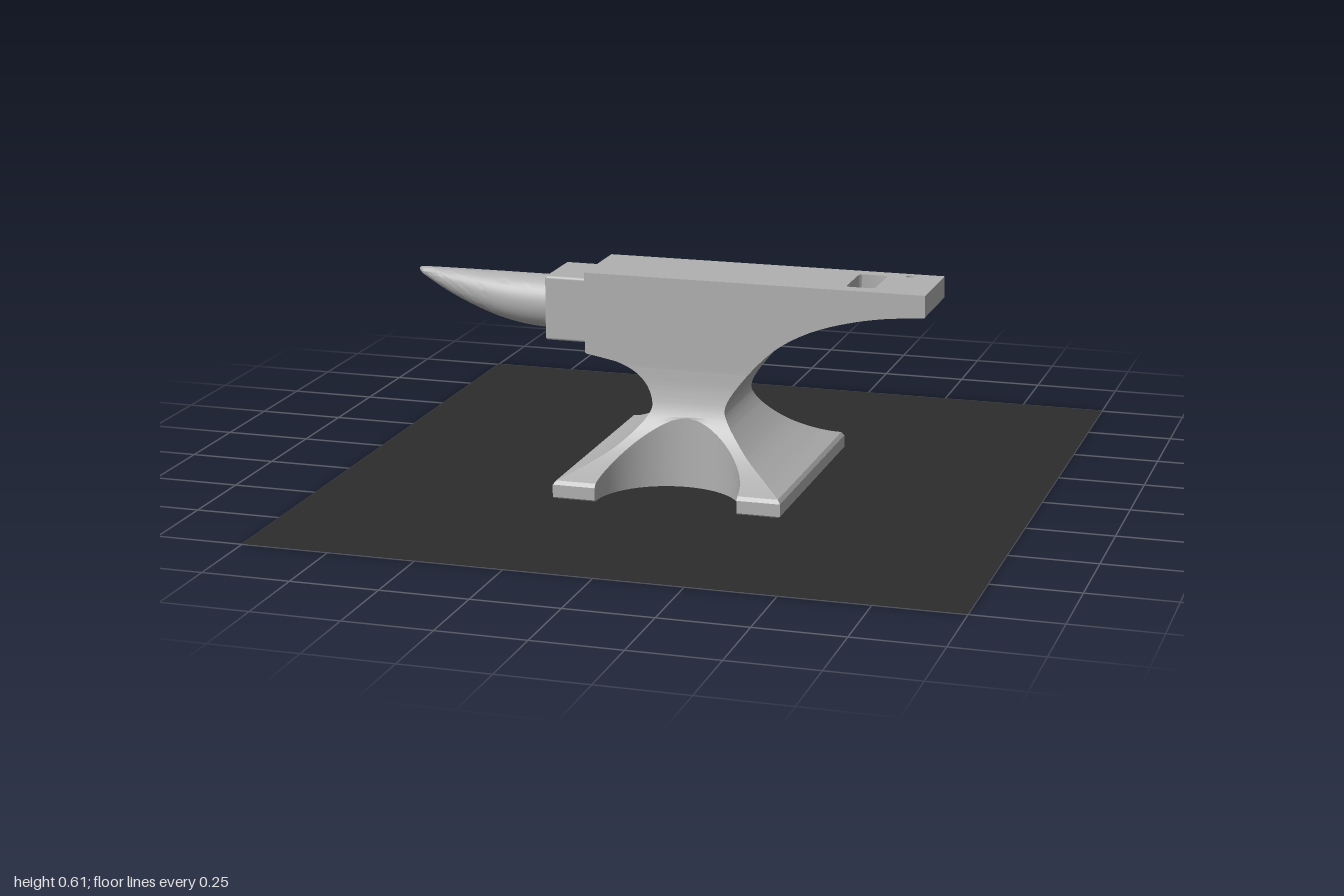
import * as THREE from 'three';
import { mergeGeometries, toCreasedNormals } from 'three/addons/utils/BufferGeometryUtils.js';
import { RoundedBoxGeometry } from 'three/addons/geometries/RoundedBoxGeometry.js';

// Surface patch from f(u, v); faces along du x dv, collapsed triangles are dropped
function patch(f, us, vs) {
  const pts = [], pos = [];
  for (let j = 0; j <= vs; j++) for (let i = 0; i <= us; i++) pts.push(new THREE.Vector3(...f(i / us, j / vs)));
  const tri = (a, b, c) => {
    const area = new THREE.Triangle(pts[a], pts[b], pts[c]).getArea();
    if (area > 1e-9) [a, b, c].forEach((k) => pos.push(...pts[k].toArray()));
  };
  for (let j = 0; j < vs; j++) for (let i = 0; i < us; i++) {
    const a = j * (us + 1) + i, b = a + 1, d = a + us + 1, c = d + 1;
    tri(a, b, c);
    tri(a, c, d);
  }
  const g = new THREE.BufferGeometry();
  g.setAttribute('position', new THREE.Float32BufferAttribute(pos, 3));
  return g;
}

// Smooth profile of [size, y] points, sampled, with straight points before and after
function profile(before, curve, after) {
  const spline = new THREE.SplineCurve(curve.map((p) => new THREE.Vector2(...p)));
  return [...before, ...spline.getPoints(40).map((p) => [p.x, p.y]), ...after];
}

// Value of a profile at height y
function at(prof, y) {
  for (let i = 1; i < prof.length; i++) {
    const [s0, y0] = prof[i - 1], [s1, y1] = prof[i];
    if (y <= y1) return y1 - y0 < 1e-6 ? s1 : s0 + (s1 - s0) * Math.max(0, (y - y0) / (y1 - y0));
  }
  return prof[prof.length - 1][0];
}

const TOP = 0.605;
const footSide = [[0.328, 0], [0.333, 0.006], [0.333, 0.042]];
const lower = [[0.325, 0.053], [0.27, 0.078], [0.2, 0.12], [0.145, 0.17], [0.115, 0.21], [0.108, 0.24]];
const heelProfile = profile(footSide, [...lower, [0.13, 0.285], [0.19, 0.36], [0.26, 0.425], [0.35, 0.475],
  [0.45, 0.508], [0.56, 0.53], [0.678, 0.541]], [[0.68, 0.543], [0.68, TOP]]);
const hornProfile = profile(footSide, [...lower, [0.125, 0.285], [0.16, 0.322], [0.21, 0.347], [0.26, 0.358],
  [0.31, 0.367]], [[0.315, 0.37], [0.315, TOP]]);
const widthProfile = profile([[0.36, 0], [0.365, 0.006], [0.365, 0.042]], [[0.357, 0.053], [0.32, 0.066], [0.27, 0.09],
  [0.22, 0.125], [0.175, 0.17], [0.145, 0.22], [0.13, 0.28], [0.125, 0.34]], [[0.125, TOP]]);

// Round scoop cut into the front and back of the foot
const SCOOP_Z = 0.36, SCOOP_R = 0.208;

function bodyGeometry(holes) {
  const rows = [];
  [...heelProfile, ...hornProfile, ...widthProfile].map((p) => p[1]).sort((a, b) => a - b)
    .forEach((y) => { if (!rows.length || y - rows[rows.length - 1] > 0.0012) rows.push(y); });
  rows[rows.length - 1] = TOP;
  const n = rows.length - 1;
  const sections = rows.map((y) => {
    const w = at(widthProfile, y), gap = SCOOP_Z - w;
    const c = Math.abs(gap) < SCOOP_R ? Math.sqrt(SCOOP_R ** 2 - gap ** 2) : 0;
    return { y, w, c, angle: Math.atan2(c, gap), left: -at(hornProfile, y), right: at(heelProfile, y) };
  });
  const row = (v) => sections[Math.round(v * n)];
  const lerp = THREE.MathUtils.lerp;

  // Half outline in three runs: flat, scoop, flat
  const runs = [
    [2, (u, s) => [lerp(s.left, -s.c, u), s.y, s.w]],
    [28, (u, s) => {
      if (!s.c) return [0, s.y, s.w];
      const a = lerp(-s.angle, s.angle, u);
      return [SCOOP_R * Math.sin(a), s.y, SCOOP_Z - SCOOP_R * Math.cos(a)];
    }],
    [2, (u, s) => [lerp(s.c, s.right, u), s.y, s.w]],
  ];
  const parts = [];
  for (const [cols, run] of runs) {
    parts.push(patch((u, v) => run(u, row(v)), cols, n));
    parts.push(patch((u, v) => { const [x, y, z] = run(1 - u, row(v)); return [x, y, -z]; }, cols, n));
    parts.push(patch((u, v) => { const [x, y, z] = run(u, sections[0]); return [x, y, z * (2 * v - 1)]; }, cols, 2));
  }
  // End walls under the heel and under the horn
  parts.push(patch((u, v) => { const s = row(v); return [s.right, s.y, s.w * (1 - 2 * u)]; }, 2, n));
  parts.push(patch((u, v) => { const s = row(v); return [s.left, s.y, s.w * (2 * u - 1)]; }, 2, n));

  // Working face with blind holes (shape y becomes -z)
  const flat = (shape, y) => {
    const g = new THREE.ShapeGeometry(shape, 10).rotateX(-Math.PI / 2).translate(0, y, 0).toNonIndexed();
    g.deleteAttribute('uv');
    g.deleteAttribute('normal');
    return g;
  };
  const face = new THREE.Shape([[-0.315, -0.125], [0.68, -0.125], [0.68, 0.125], [-0.315, 0.125]]
    .map((p) => new THREE.Vector2(...p)));
  for (const { shape, depth } of holes) {
    face.holes.push(shape);
    parts.push(flat(shape, TOP - depth));
    const rim = shape.getPoints(10);
    if (THREE.ShapeUtils.isClockWise(rim)) rim.reverse();
    const m = rim.length;
    parts.push(patch((u, v) => {
      const p = rim[(m - Math.round(u * m)) % m];
      return [p.x, TOP - depth * (1 - v), -p.y];
    }, m, 1));
  }
  parts.push(flat(face, TOP));
  return toCreasedNormals(mergeGeometries(parts), 0.5);
}

function roundedRect(x0, y0, x1, y1, r) {
  const s = new THREE.Shape();
  s.absarc(x1 - r, y1 - r, r, 0, Math.PI / 2);
  s.absarc(x0 + r, y1 - r, r, Math.PI / 2, Math.PI);
  s.absarc(x0 + r, y0 + r, r, Math.PI, Math.PI * 1.5);
  s.absarc(x1 - r, y0 + r, r, Math.PI * 1.5, Math.PI * 2);
  s.closePath();
  return s;
}

// Horn: round sections with a level top and a rising underside
function hornGeometry() {
  const spine = new THREE.CatmullRomCurve3([ // x, underside y, half width
    [-0.43, 0.405, 0.077], [-0.52, 0.411, 0.074], [-0.6, 0.426, 0.068], [-0.68, 0.452, 0.056],
    [-0.76, 0.486, 0.039], [-0.82, 0.518, 0.023], [-0.86, 0.543, 0.01], [-0.868, 0.554, 0],
  ].map((p) => new THREE.Vector3(...p)));
  const g = patch((u, v) => {
    const p = spine.getPoint(v), a = u * Math.PI * 2;
    const top = 0.562 - 0.008 * v ** 12;
    const mid = (top + p.y) / 2, h = (top - p.y) / 2;
    return [p.x, mid + h * Math.cos(a), -p.z * Math.sin(a)];
  }, 40, 36);
  return toCreasedNormals(g, 0.9);
}

export function createModel() {
  const model = new THREE.Group();
  model.name = 'anvil';
  const steel = new THREE.MeshStandardMaterial({ name: 'steel grey', color: 0xb0b0b0 });
  const dark = new THREE.MeshStandardMaterial({ name: 'charcoal', color: 0x2c2c2c, side: THREE.DoubleSide });
  const add = (name, geometry, material) => {
    const mesh = new THREE.Mesh(geometry, material);
    mesh.name = name;
    model.add(mesh);
    return mesh;
  };

  const pin = new THREE.Shape();
  pin.absarc(0.588, 0.093, 0.012, 0, Math.PI * 2);
  add('body', bodyGeometry([
    { shape: roundedRect(0.442, -0.078, 0.525, 0.082, 0.014), depth: 0.07 },
    { shape: pin, depth: 0.04 },
  ]), steel);
  add('shoulder', new RoundedBoxGeometry(0.15, 0.19, 0.195, 3, 0.008), steel).position.set(-0.37, 0.486, 0);
  add('horn', hornGeometry(), steel);

  // Thin mat, just above the underside of the foot
  add('mat', new THREE.PlaneGeometry(2, 2).rotateX(-Math.PI / 2), dark).position.y = 0.002;
  return model;
}
